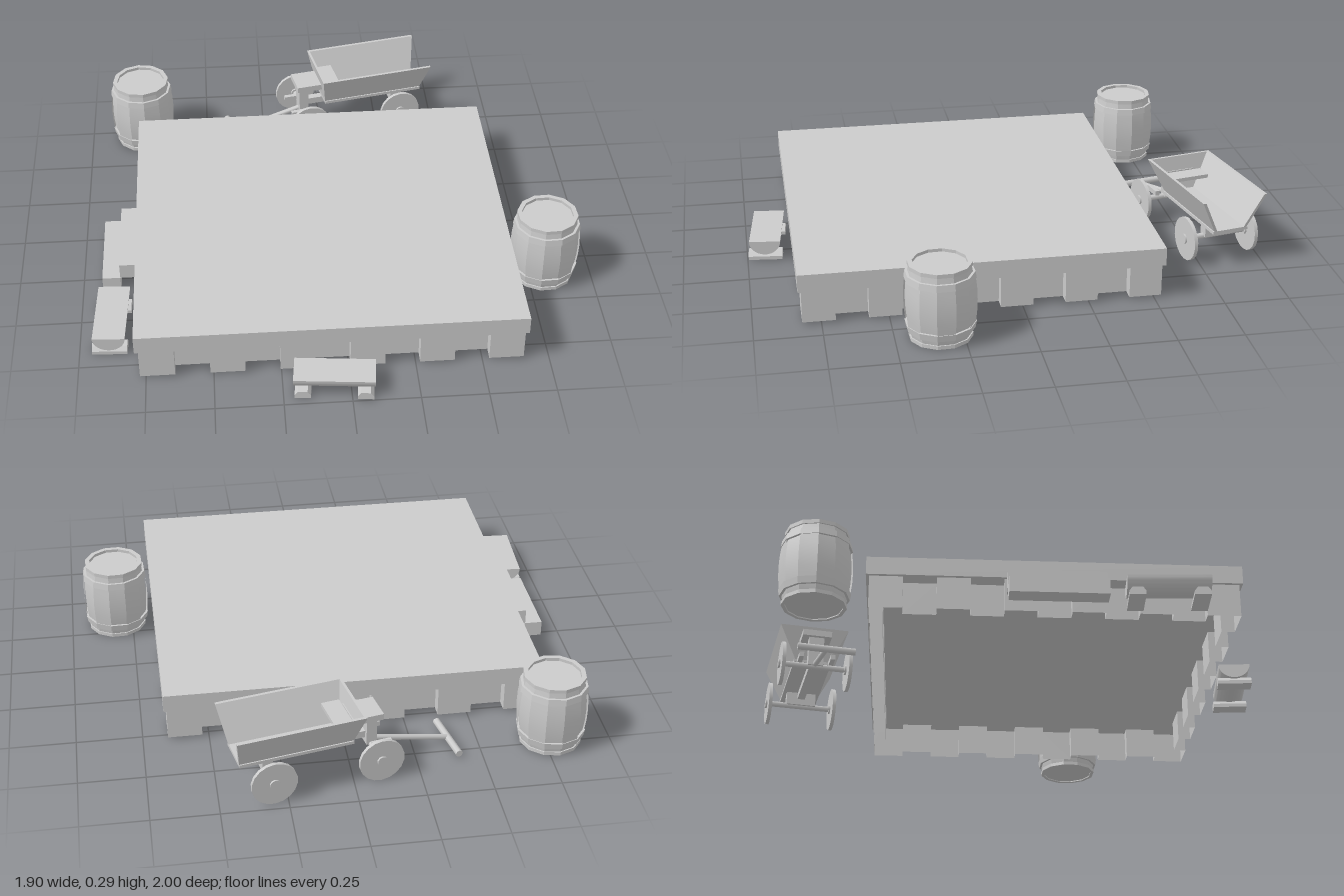
import * as THREE from 'three';
import { mergeGeometries, toCreasedNormals } from 'three/addons/utils/BufferGeometryUtils.js';
import { ConvexGeometry } from 'three/addons/geometries/ConvexGeometry.js';

const mat = new THREE.MeshStandardMaterial({ color: 0xcccccc, side: THREE.DoubleSide });
const V = (x, y, z) => new THREE.Vector3(x, y, z);

function add(parent, name, geo, x = 0, y = 0, z = 0) {
  const mesh = new THREE.Mesh(geo, mat);
  mesh.name = name;
  mesh.position.set(x, y, z);
  parent.add(mesh);
  return mesh;
}

// box given by its minimum and maximum on each axis
const box = (parent, name, [x0, x1], [y0, y1], [z0, z1]) =>
  add(parent, name, new THREE.BoxGeometry(x1 - x0, y1 - y0, z1 - z0),
    (x0 + x1) / 2, (y0 + y1) / 2, (z0 + z1) / 2);

// flat board from its corners, thickened along one vector
const board = (parent, name, corners, thick) =>
  add(parent, name, new ConvexGeometry([...corners, ...corners.map(c => c.clone().add(thick))]));

// round or square bar between two points
function bar(parent, name, a, b, r, sides = 8) {
  const m = add(parent, name, new THREE.CylinderGeometry(r, r, a.distanceTo(b), sides));
  m.position.copy(a).add(b).multiplyScalar(0.5);
  m.quaternion.setFromUnitVectors(V(0, 1, 0), b.clone().sub(a).normalize());
  return m;
}

// thin wall stepping in and out around the platform
function skirtGeometry(x0, x1, z0, z1, y0, y1, depth, n) {
  const corners = [[x0, z1], [x1, z1], [x1, z0], [x0, z0]];
  const pts = [];
  corners.forEach(([ax, az], s) => {
    const [bx, bz] = corners[(s + 1) % 4];
    const len = Math.hypot(bx - ax, bz - az);
    const nx = (bz - az) / len, nz = -(bx - ax) / len; // inward normal
    pts.push([ax, az]);
    for (let i = 1; i < n; i++) {
      const px = ax + (bx - ax) * i / n, pz = az + (bz - az) * i / n;
      const outer = [px, pz], inner = [px + nx * depth, pz + nz * depth];
      pts.push(...(i % 2 ? [outer, inner] : [inner, outer]));
    }
  });
  return mergeGeometries(pts.map(([ax, az], i) => {
    const [bx, bz] = pts[(i + 1) % pts.length];
    return new THREE.PlaneGeometry(Math.hypot(bx - ax, bz - az), y1 - y0)
      .rotateY(-Math.atan2(bz - az, bx - ax))
      .translate((ax + bx) / 2, (y0 + y1) / 2, (az + bz) / 2);
  }));
}

function makeBarrel() {
  const g = new THREE.Group();
  g.name = 'barrel';
  const N = 12;
  const lathe = (pts, start = 0, arc = Math.PI * 2, seg = N) => toCreasedNormals(
    new THREE.LatheGeometry(pts.map(p => new THREE.Vector2(...p)), seg, start, arc), 0.4);
  const bulge = y => 0.128 - 0.018 * ((y - 0.147) / 0.147) ** 2;
  const rows = [0.015, 0.06, 0.105, 0.147, 0.19, 0.235, 0.28];

  // body with recessed lid
  add(g, 'barrelBody', lathe([[0, 0.004], [0.11, 0.004], ...rows.map(y => [bulge(y), y]),
    [0.112, 0.295], [0.1, 0.295], [0.1, 0.283], [0, 0.283]]));
  // every other stave stands slightly proud
  for (let i = 0; i < N; i += 2)
    add(g, 'stave', lathe([[0.11, 0.05], ...rows.slice(1, -1).map(y => [bulge(y) + 0.006, y]), [0.11, 0.245]],
      i * Math.PI * 2 / N, Math.PI * 2 / N, 1));
  // hoops
  for (const [y0, y1] of [[0.035, 0.06], [0.232, 0.257]])
    add(g, 'hoop', lathe([[0.11, y0], [bulge(y0) + 0.009, y0], [bulge(y1) + 0.009, y1], [0.11, y1]]));
  for (const [y0, y1] of [[0, 0.014], [0.28, 0.295]])
    add(g, 'endHoop', lathe([[0.104, y0], [0.118, y0], [0.118, y1], [0.104, y1], [0.104, y0]]));
  return g;
}

function makeBench() {
  const g = new THREE.Group();
  g.name = 'bench';
  // half log, flat side up
  const s = new THREE.Shape();
  s.absellipse(0, 0, 0.061, 0.055, Math.PI, Math.PI * 2, false, 0);
  s.closePath();
  const log = new THREE.ExtrudeGeometry(s, { depth: 0.3, bevelEnabled: false, curveSegments: 12 });
  log.translate(0, 0, -0.15).rotateY(Math.PI / 2);
  add(g, 'benchSeat', toCreasedNormals(log, 0.6), 0, 0.08, 0);
  // feet with sloping sides
  for (const x of [-0.115, 0.115]) {
    const foot = [-0.066, 0.066].flatMap(z => [V(x - 0.03, 0, z), V(x + 0.03, 0, z), V(x + 0.03, 0.014, z),
      V(x - 0.03, 0.014, z), V(x - 0.018, 0.03, z), V(x + 0.018, 0.03, z)]);
    add(g, 'benchFoot', new ConvexGeometry(foot));
  }
  return g;
}

// wagon: local -x is the handle end
function makeWagon() {
  const g = new THREE.Group();
  g.name = 'wagon';
  const yf = 0.155, yt = 0.293;
  // open-backed bed
  box(g, 'bedFloor', [-0.215, 0.22], [yf - 0.012, yf], [-0.075, 0.075]);
  for (const s of [-1, 1])
    board(g, 'bedSide', [V(-0.215, yf, s * 0.07), V(0.22, yf, s * 0.07), V(0.245, yt, s * 0.138), V(-0.24, yt, s * 0.138)],
      V(0, 0, -s * 0.012));
  board(g, 'bedFront', [V(-0.215, yf, -0.07), V(-0.215, yf, 0.07), V(-0.24, yt, 0.138), V(-0.24, yt, -0.138)],
    V(0.01, 0, 0));
  box(g, 'seat', [-0.215, -0.145], [0.215, 0.23], [-0.09, 0.09]);
  box(g, 'frontPlatform', [-0.335, -0.215], [0.21, 0.235], [-0.058, 0.058]);
  box(g, 'frontPost', [-0.32, -0.28], [0.09, 0.21], [-0.03, 0.03]);
  box(g, 'underBeam', [-0.3, 0.13], [0.115, 0.143], [-0.015, 0.015]);
  box(g, 'rearBolster', [0.09, 0.13], [0.09, 0.143], [-0.06, 0.06]);

  // axles and disc wheels
  for (const x of [-0.3, 0.11]) {
    bar(g, 'axle', V(x, 0.09, -0.14), V(x, 0.09, 0.14), 0.012);
    for (const z of [-0.132, 0.132]) {
      bar(g, 'wheel', V(x, 0.09, z - 0.007), V(x, 0.09, z + 0.007), 0.087, 18);
      bar(g, 'hub', V(x, 0.09, z - 0.014), V(x, 0.09, z + 0.014), 0.02, 10);
    }
  }
  // fork, tongue and cross handle
  for (const z of [-0.062, 0.062])
    box(g, 'forkArm', [-0.365, -0.29], [0.1, 0.12], [z - 0.009, z + 0.009]);
  bar(g, 'tongue', V(-0.3, 0.1, 0), V(-0.62, 0.022, 0), 0.011);
  bar(g, 'handle', V(-0.62, 0.02, -0.11), V(-0.62, 0.02, 0.11), 0.014);
  return g;
}

export function createModel() {
  const model = new THREE.Group();
  model.name = 'platformWithProps';

  box(model, 'platformTop', [-0.785, 0.667], [0.135, 0.205], [-0.54, 0.832]);
  add(model, 'platformSkirt', skirtGeometry(-0.772, 0.655, -0.528, 0.82, 0.008, 0.135, 0.05, 11));

  // two steps on the side
  box(model, 'upperStep', [-0.852, -0.775], [0.07, 0.132], [-0.03, 0.328]);
  box(model, 'lowerStep', [-0.922, -0.852], [0.008, 0.07], [-0.03, 0.328]);

  const place = (part, x, z, turn) => {
    part.position.set(x, 0, z);
    part.rotation.y = turn;
    model.add(part);
  };
  place(makeBarrel(), -0.775, -0.72, 0.1);
  place(makeBarrel(), 0.812, 0.332, 0.3);
  place(makeBench(), -0.06, 0.916, -0.1);
  place(makeBench(), -0.88, 0.54, Math.PI / 2 - 0.05);
  place(makeWagon(), 0.22, -0.815, 0.2);
  return model;
}
